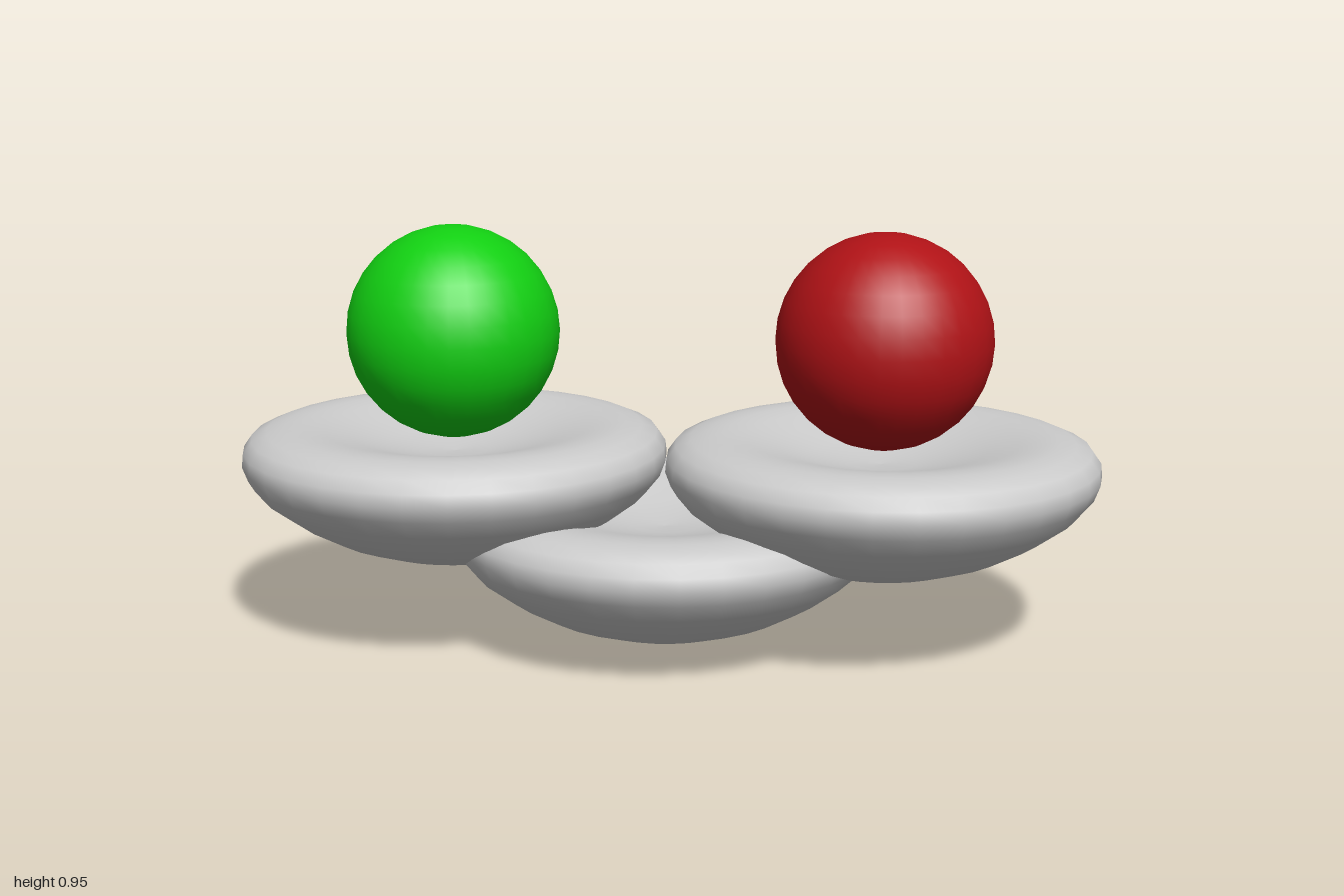
import * as THREE from 'three';

const grey = new THREE.MeshStandardMaterial({ color: 0xcccccc });
const green = new THREE.MeshStandardMaterial({ color: 0x12d012 });
const red = new THREE.MeshStandardMaterial({ color: 0xb01216 });

// Shallow dish profile (radius, height): bulging underside, rounded rim, dimpled top
const profile = [
  [0, 0], [0.1, 0.007], [0.2, 0.028], [0.3, 0.065], [0.38, 0.11], [0.45, 0.162],
  [0.485, 0.205], [0.498, 0.24], [0.495, 0.27], [0.475, 0.298], [0.44, 0.313],
  [0.4, 0.32], [0.36, 0.32], [0.31, 0.312], [0.24, 0.294], [0.16, 0.272],
  [0.08, 0.257], [0, 0.252],
].map(([r, y]) => new THREE.Vector2(r, y));

const dishGeometry = new THREE.LatheGeometry(profile, 32);
const ballGeometry = new THREE.SphereGeometry(0.248, 32, 16);

function addPart(parent, name, geometry, material, x, y) {
  const mesh = new THREE.Mesh(geometry, material);
  mesh.name = name;
  mesh.position.set(x, y, 0);
  parent.add(mesh);
}

export function createModel() {
  const model = new THREE.Group();
  model.name = 'dishesWithBalls';

  // Lower dish carrying the two upper ones
  addPart(model, 'lowerDish', dishGeometry, grey, 0, 0.004);

  // Upper dishes, each with a ball resting in its dimple
  for (const [side, x, material] of [['left', 0.5, red], ['right', -0.5, green]]) {
    addPart(model, side + 'Dish', dishGeometry, grey, x, 0.17);
    addPart(model, side + 'Ball', ballGeometry, material, x, 0.708);
  }
  return model;
}
